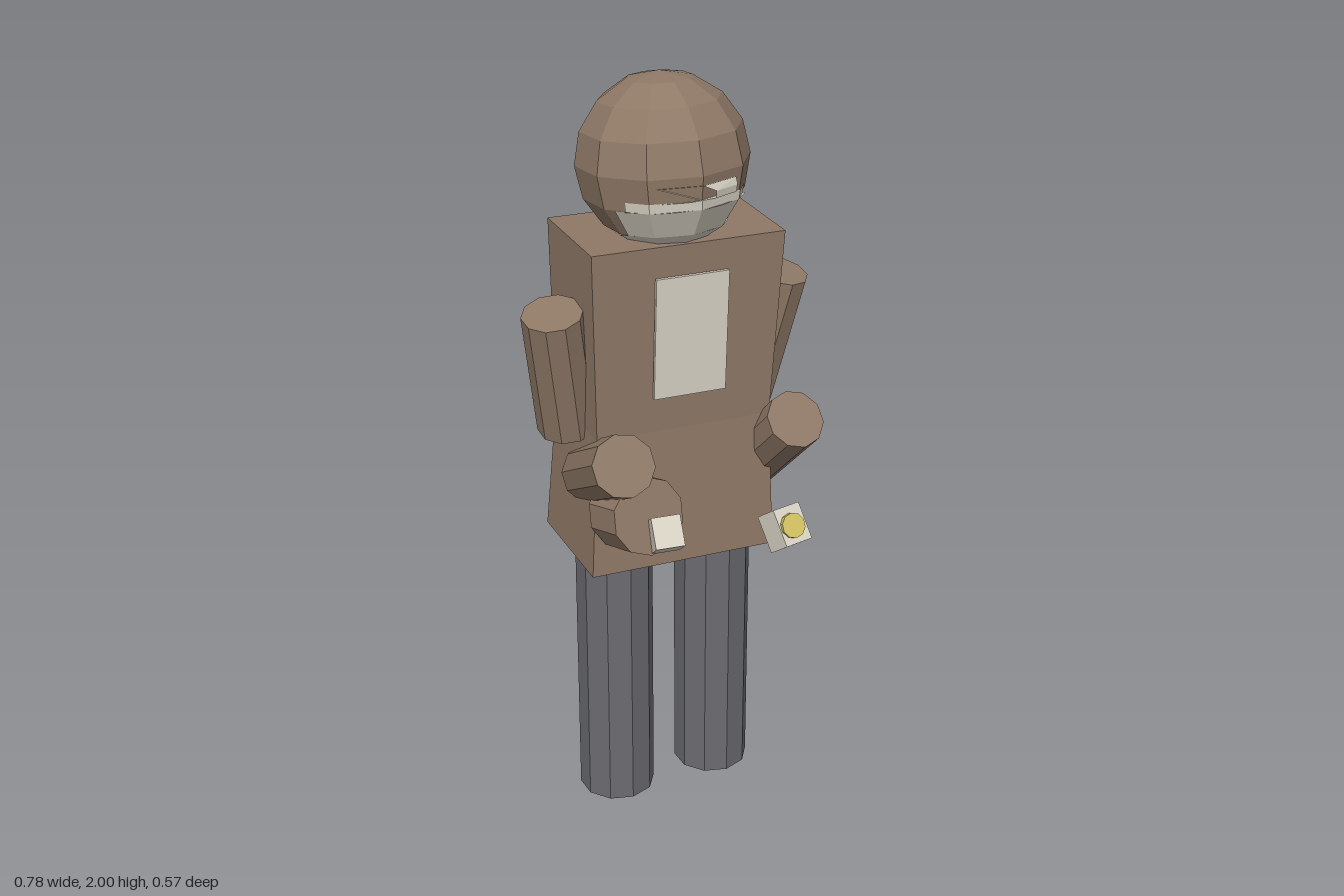
import * as THREE from 'three';

const mat = (name, color) => new THREE.MeshStandardMaterial({ name, color, flatShading: true });
const RAD = Math.PI / 180;

export function createModel() {
  const model = new THREE.Group();
  model.name = 'figure';
  const brown = mat('brown', 0x8f7967);
  const grey = mat('dark grey', 0x6c6b71);
  const white = mat('off white', 0xd8d2c4);
  const yellow = mat('yellow', 0xd0bf60);

  function add(name, geo, material, parent = model) {
    const mesh = new THREE.Mesh(geo, material);
    mesh.name = name;
    parent.add(mesh);
    return mesh;
  }

  // Cylinder running between two points
  function limb(name, from, to, radius, material, sides = 10) {
    const a = new THREE.Vector3(...from), b = new THREE.Vector3(...to);
    const dir = b.clone().sub(a);
    const mesh = add(name, new THREE.CylinderGeometry(radius, radius, dir.length(), sides), material);
    mesh.position.copy(a).add(b).multiplyScalar(0.5);
    mesh.quaternion.setFromUnitVectors(new THREE.Vector3(0, 1, 0), dir.normalize());
    return mesh;
  }

  // Legs
  for (const s of [-1, 1]) {
    limb(s > 0 ? 'leftLeg' : 'rightLeg', [s * 0.145, 0, -0.06], [s * 0.145, 0.76, -0.06], 0.102, grey);
  }

  // Coat: a box pinched at the waist and slightly turned
  const torso = new THREE.Group();
  torso.name = 'torso';
  torso.position.set(0, 1.18, -0.063);
  torso.rotation.set(0, -0.045, -0.025);
  model.add(torso);
  const coat = new THREE.BoxGeometry(1, 0.865, 1, 1, 2, 1);
  const p = coat.attributes.position;
  for (let i = 0; i < p.count; i++) {
    const y = p.getY(i);
    const [w, d] = y > 0.1 ? [0.515, 0.29] : y < -0.1 ? [0.51, 0.325] : [0.475, 0.28];
    p.setXYZ(i, p.getX(i) * w, Math.abs(y) < 0.1 ? -0.06 : y, p.getZ(i) * d);
  }
  add('coat', coat, brown, torso);
  add('shirtFront', new THREE.BoxGeometry(0.195, 0.318, 0.009), white, torso).position.set(0.006, 0.195, 0.152);

  // Head, tilted a little backwards
  const head = new THREE.Group();
  head.name = 'head';
  head.position.set(0, 1.784, -0.058);
  head.rotation.x = -0.1;
  model.add(head);
  const R = 0.217, COLS = 10, ROWS = 8;
  add('hood', new THREE.SphereGeometry(R, COLS, ROWS, Math.PI / 2), brown, head);

  // Point on the faceted head at the given angles
  const ball = (phi, theta) => new THREE.Vector3(
    -Math.cos(phi) * Math.sin(theta), Math.cos(theta), Math.sin(phi) * Math.sin(theta)).multiplyScalar(R);
  function facetPoint(phi, theta) {
    const dp = 2 * Math.PI / COLS, dt = Math.PI / ROWS;
    const u = (phi - Math.PI / 2) / dp, v = theta / dt;
    const c = Math.floor(u + 1e-6), r = Math.min(ROWS - 1, Math.floor(v + 1e-6));
    const corner = (i, j) => ball(Math.PI / 2 + (c + i) * dp, (r + j) * dt);
    return corner(0, 0).lerp(corner(1, 0), u - c)
      .lerp(corner(0, 1).lerp(corner(1, 1), u - c), v - r);
  }

  // Pale lower face laid on the facets: [top angle, bottom angle, half width, columns, rows]
  const bands = [[96, 106, 30, 2, 1], [106, 112.5, 54, 6, 1], [112.5, 135, 63, 14, 1], [135, 180, 90, 10, 2]];
  for (const [top, bottom, half, cols, rows] of bands) {
    const geo = new THREE.SphereGeometry(R, cols, rows, (90 - half) * RAD, 2 * half * RAD,
      top * RAD, (bottom - top) * RAD);
    const pos = geo.attributes.position;
    let k = 0;
    for (let j = 0; j <= rows; j++) for (let i = 0; i <= cols; i++) {
      const q = facetPoint((90 - half + 2 * half * i / cols) * RAD, (top + (bottom - top) * j / rows) * RAD);
      q.multiplyScalar(1.012);
      pos.setXYZ(k++, q.x, q.y, q.z);
    }
    add('lowerFace', geo, white, head);
  }

  // Arms
  for (const s of [-1, 1]) {
    limb(s > 0 ? 'leftUpperArm' : 'rightUpperArm', [s * 0.255, 1.107, -0.09], [s * 0.315, 1.447, -0.03], 0.078, brown);
  }
  limb('leftForearm', [0.262, 0.885, -0.08], [0.259, 1.125, 0.174], 0.077, brown);
  limb('rightForearm', [-0.2, 0.965, -0.07], [-0.246, 1.13, 0.224], 0.08, brown);
  limb('rightCuff', [-0.175, 0.918, 0.065], [-0.165, 0.957, 0.193], 0.1, brown);

  // Hands
  const leftHand = add('leftHand', new THREE.BoxGeometry(0.082, 0.1, 0.08), white);
  leftHand.position.set(0.228, 0.826, 0.188);
  leftHand.rotation.set(-0.64, 0.12, 0.1);
  const rightHand = add('rightHand', new THREE.BoxGeometry(0.074, 0.08, 0.09), white);
  rightHand.position.set(-0.135, 0.915, 0.225);
  rightHand.rotation.set(-0.64, -0.22, -0.1);

  // Small round knob held in the left hand
  limb('knob', [0.228, 0.838, 0.205], [0.228, 0.855, 0.235], 0.033, yellow);

  return model;
}
